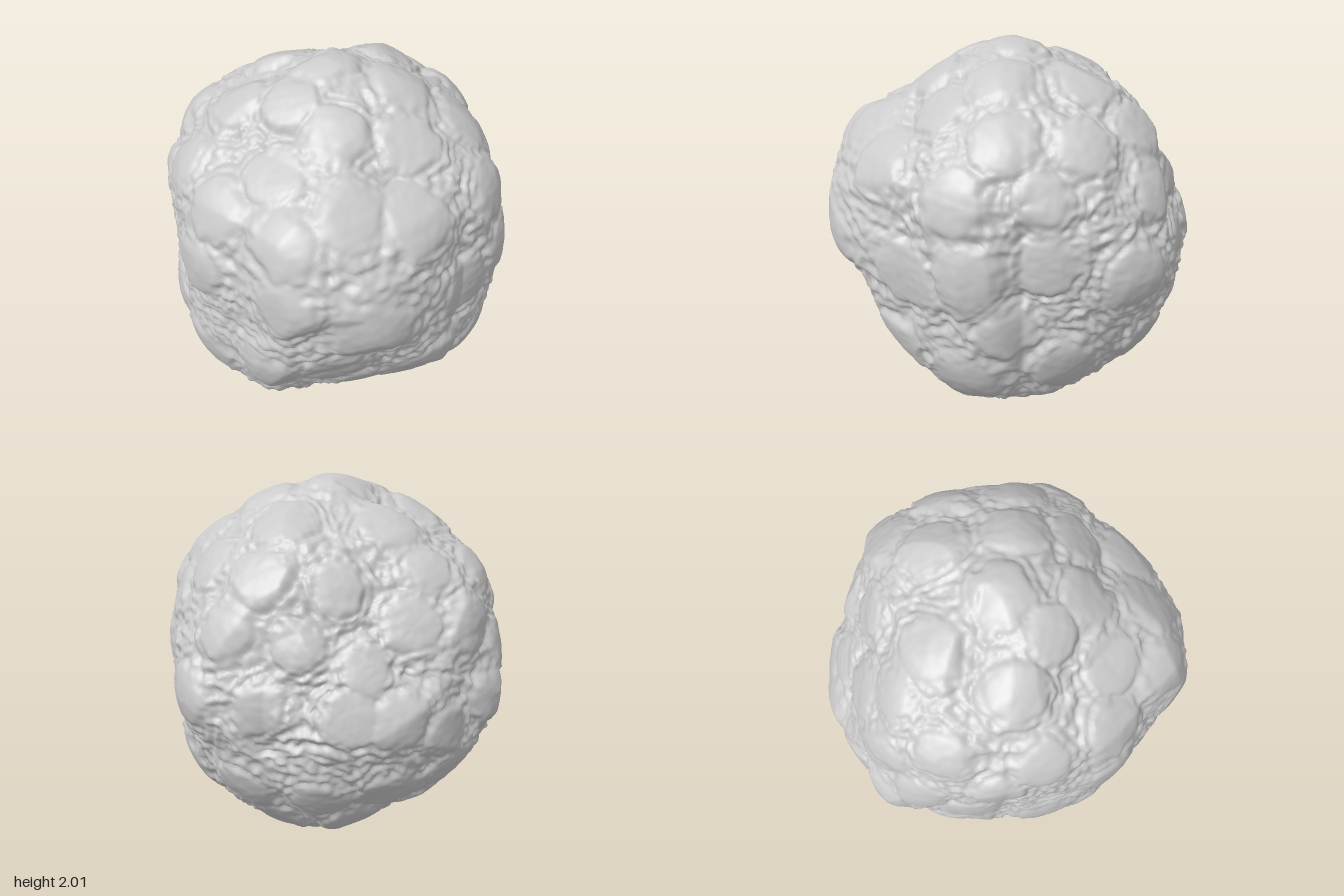
import * as THREE from 'three';
import { mergeVertices } from 'three/addons/utils/BufferGeometryUtils.js';

// Outlines around the middle of the boulder, each in its own plane (u right, v up)
const FRONT = [[-.1, 1], [-.35, .9], [-.6, .69], [-.9, .49], [-.97, .3], [-.98, 0], [-.95, -.38], [-.84, -.68],
  [-.8, -.81], [-.5, -.92], [-.1, -.99], [.2, -.99], [.45, -.92], [.6, -.8], [.75, -.57], [.9, -.28],
  [.99, -.05], [.91, .25], [.8, .46], [.66, .7], [.5, .85], [.2, .91]];
const SIDE = [[-.05, 1], [-.25, .96], [-.5, .83], [-.75, .66], [-.94, .43], [-.98, .28], [-.97, 0], [-.95, -.22],
  [-.92, -.5], [-.78, -.8], [-.6, -.93], [-.3, -1], [-.05, -.96], [.18, -1], [.42, -.9], [.6, -.72],
  [.82, -.45], [.99, -.15], [.93, .08], [.87, .3], [.8, .6], [.63, .7], [.55, .83], [.29, .88], [.15, .95]];
const TOP = [[-.15, .99], [.09, .9], [.4, .81], [.62, .66], [.79, .45], [.83, .19], [.98, -.13], [.88, -.37],
  [.7, -.53], [.5, -.69], [.43, -.85], [.3, -.95], [-.07, -.92], [-.45, -.97], [-.77, -.82], [-.94, -.64],
  [-.98, -.3], [-.97, .13], [-.9, .32], [-.66, .58], [-.4, .82]];
const FRONT_SLANT = [[-.18, .94], [.01, .88], [.17, .91], [.39, .8], [.5, .68], [.61, .51], [.71, .31], [.84, .09],
  [.89, -.11], [.83, -.39], [.7, -.61], [.45, -.85], [.2, -1.02], [-.18, -1.1], [-.39, -.99], [-.58, -.8],
  [-.77, -.58], [-.89, -.39], [-1.04, -.18], [-1.07, .01], [-1.13, .17], [-1.08, .39], [-.98, .58],
  [-.8, .66], [-.58, .79], [-.36, .9]];
const BACK_SLANT = [[.12, .97], [.34, .89], [.59, .72], [.87, .57], [1.06, .4], [1.12, .18], [1.1, -.11],
  [1.01, -.39], [.9, -.64], [.84, -.74], [.7, -.88], [.56, -.99], [.32, -1.01], [.02, -.89], [-.26, -.89],
  [-.51, -.77], [-.69, -.58], [-.85, -.39], [-.89, -.08], [-.81, .14], [-.72, .42], [-.66, .64], [-.44, .82],
  [-.19, .91]];
const LOW_SLANT = [[.1, .88], [.44, .82], [.69, .7], [.84, .48], [.9, .2], [.89, -.18], [.87, -.55], [.83, -.68],
  [.7, -.81], [.5, -.94], [-.09, -1.05], [-.46, -.99], [-.71, -.8], [-.82, -.55], [-.88, -.24], [-.92, .11],
  [-.86, .42], [-.68, .67], [-.46, .84], [-.21, .87]];

// An outline plane, turned around y by azimuth and tilted by elevation (degrees),
// with the round knobs seen facing it as u, v, radius
function outlinePlane(points, azimuth, elevation, knobs = []) {
  const turn = new THREE.Euler(-THREE.MathUtils.degToRad(elevation), THREE.MathUtils.degToRad(azimuth), 0, 'YXZ');
  const polar = points.map(([a, b]) => [Math.atan2(b, a), Math.hypot(a, b)]).sort((p, q) => p[0] - q[0]);
  const first = polar[0], last = polar[polar.length - 1];
  polar.unshift([last[0] - 2 * Math.PI, last[1]]);
  polar.push([first[0] + 2 * Math.PI, first[1]]);
  const radius = (angle) => {
    let i = 1;
    while (i < polar.length - 1 && polar[i][0] < angle) i++;
    const [a0, r0] = polar[i - 1], [a1, r1] = polar[i];
    return THREE.MathUtils.lerp(r0, r1, (angle - a0) / (a1 - a0));
  };
  const axis = (x, y, z) => new THREE.Vector3(x, y, z).applyEuler(turn);
  return { u: axis(1, 0, 0), v: axis(0, 1, 0), n: axis(0, 0, 1), radius, knobs };
}

const PLANES = [
  outlinePlane(FRONT, 0, 0, [[-.32, .48, .2], [.22, .4, .19], [.6, .45, .16], [-.62, 0, .21], [-.05, -.05, .21],
    [-.2, -.5, .2], [.22, -.58, .2], [-.8, .42, .17], [-.85, -.4, .17]]),
  outlinePlane(SIDE, 90, 0, [[-.05, .4, .18], [.35, .4, .17], [-.3, -.02, .2], [.2, 0, .18], [-.5, -.55, .19],
    [0, -.55, .19], [.4, -.55, .18], [.65, 0, .18]]),
  outlinePlane(TOP, 0, 90, [[-.45, .28, .19], [.02, .42, .21], [-.1, -.03, .18], [.42, -.03, .21],
    [-.4, -.35, .18], [.1, -.4, .19], [-.35, .72, .17], [.55, .45, .17]]),
  outlinePlane(FRONT_SLANT, 35, 25),
  outlinePlane(BACK_SLANT, 215, 25, [[-.47, -.4, .16], [.03, -.4, .18], [.7, .2, .18], [.45, -.6, .18]]),
  outlinePlane(LOW_SLANT, 145, -25, [[-.43, .32, .15], [.06, .37, .19], [-.18, 0, .18], [-.09, -.49, .19],
    [.38, -.55, .18], [.45, -.1, .18], [.63, .26, .18], [-.1, .63, .18]]),
];

// Blends the outlines, each ruling near its own plane, and never passes outside any of them
function bodyRadius(d) {
  let sum = 0, total = 0, limit = Infinity;
  for (const p of PLANES) {
    const a = d.dot(p.u), b = d.dot(p.v), c = d.dot(p.n);
    const r = p.radius(Math.atan2(b, a)), w = 1 / (c * c + 0.03);
    sum += w * r;
    total += w;
    limit = Math.min(limit, r / Math.max(0.05, Math.hypot(a, b)));
  }
  return Math.min(sum / total, limit);
}

function seeded(seed) {
  return () => {
    seed = (Math.imul(seed, 1664525) + 1013904223) >>> 0;
    return seed / 4294967296;
  };
}

// Smooth value noise from -1 to 1
function hash(x, y, z) {
  let h = Math.imul(x, 374761393) ^ Math.imul(y, 668265263) ^ Math.imul(z, 1274126177);
  h = Math.imul(h ^ (h >>> 13), 1103515245);
  return ((h ^ (h >>> 16)) >>> 0) / 2147483648 - 1;
}
function noise(x, y, z) {
  const i = Math.floor(x), j = Math.floor(y), k = Math.floor(z);
  const ease = (t) => t * t * (3 - 2 * t);
  const u = ease(x - i), v = ease(y - j), w = ease(z - k), mix = THREE.MathUtils.lerp;
  const edge = (b, c) => mix(hash(i, b, c), hash(i + 1, b, c), u);
  return mix(mix(edge(j, k), edge(j + 1, k), v), mix(edge(j, k + 1), edge(j + 1, k + 1), v), w);
}

function makeKnobs() {
  const knobs = [];
  const add = (dir, size, gap) => {
    dir.normalize();
    if (knobs.every((k) => k.dir.angleTo(dir) > (k.size + size) * gap)) knobs.push({ dir, size });
  };
  for (const p of PLANES) {
    for (const [a, b, size] of p.knobs) {
      const c = Math.sqrt(Math.max(0.02, 0.97 - a * a - b * b));
      const dir = new THREE.Vector3().addScaledVector(p.u, a).addScaledVector(p.v, b).addScaledVector(p.n, c);
      add(dir, size, 0.75);
    }
  }
  // Fill the remaining gaps with similar knobs
  const random = seeded(17);
  for (let i = 0; i < 900; i++) {
    const y = random() * 2 - 1, a = random() * Math.PI * 2, r = Math.sqrt(1 - y * y);
    add(new THREE.Vector3(r * Math.cos(a), y, r * Math.sin(a)), 0.16 + random() * 0.05, 0.92);
  }
  return knobs;
}

function makeBoulder() {
  const knobs = makeKnobs();
  let geometry = new THREE.IcosahedronGeometry(1, 78);
  geometry.deleteAttribute('uv');
  geometry.deleteAttribute('normal');
  geometry = mergeVertices(geometry, 1e-5);

  const position = geometry.attributes.position;
  const d = new THREE.Vector3();
  for (let i = 0; i < position.count; i++) {
    d.fromBufferAttribute(position, i).normalize();
    const { x, y, z } = d;

    // Low knobs with a soft shoulder and a wide skirt
    const wobble = 0.025 * noise(x * 6, y * 6, z * 6) + 0.016 * noise(x * 17, y * 17, z * 17);
    let knob = 0, nearest = 9;
    for (const k of knobs) {
      const t = (d.angleTo(k.dir) + wobble) / k.size;
      nearest = Math.min(nearest, t);
      if (t > 1.6) continue;
      const dome = 0.35 * (1 - THREE.MathUtils.smoothstep(t, 0.68, 1.05));
      const skirt = 0.4 * (1 - THREE.MathUtils.smoothstep(t, 0.85, 1.6));
      knob = Math.max(knob, dome + skirt + 0.3 * Math.max(0, 1 - t * t));
    }

    // Ragged ledges ringing the knobs, with creases and grit between them
    const gap = THREE.MathUtils.smoothstep(nearest, 0.7, 1.05);
    const warp = noise(x * 5, y * 5, z * 5);
    const ledge = Math.abs(Math.sin(nearest * 9 + warp * 3));
    const crease = 1 - 2 * Math.abs(noise(x * 8 + warp, y * 12, z * 8 + warp));
    const grit = noise(x * 22, y * 30, z * 22) + 0.5 * noise(x * 45, y * 55, z * 45);
    const rough = gap * (0.012 * (ledge - 0.6) + 0.012 * crease + 0.008 * grit) + 0.002 * grit;

    d.multiplyScalar(bodyRadius(d) + 0.045 * (knob - 0.45) + 0.006 * warp + rough);
    // Keep the underside resting on the ground
    position.setXYZ(i, d.x, Math.max(0, d.y + 1), d.z);
  }
  geometry.computeVertexNormals();
  return geometry;
}

export function createModel() {
  const group = new THREE.Group();
  group.name = 'lumpyBoulder';
  const boulder = new THREE.Mesh(makeBoulder(), new THREE.MeshStandardMaterial({ color: 0xcccccc }));
  boulder.name = 'boulder';
  group.add(boulder);
  return group;
}
